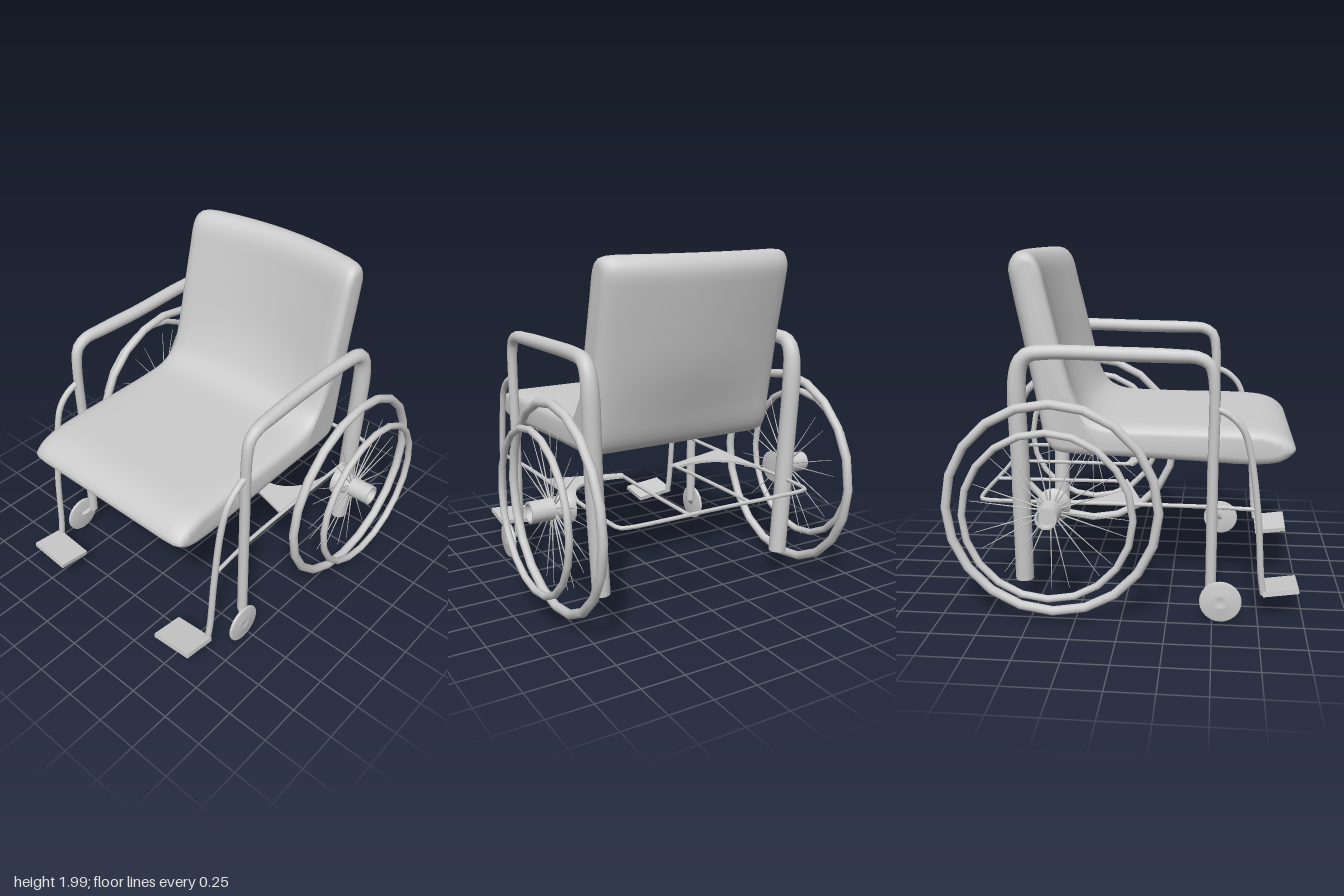
import * as THREE from 'three';
import { toCreasedNormals } from 'three/addons/utils/BufferGeometryUtils.js';

const grey = new THREE.MeshStandardMaterial({ color: 0xcccccc });
const V = (x, y, z) => new THREE.Vector3(x, y, z);

function add(parent, name, geometry) {
  const mesh = new THREE.Mesh(geometry, grey);
  mesh.name = name;
  parent.add(mesh);
}

// Tube through points [x, y, z], x mirrored by s; radius follows radiusAt(t). Flat closed ends.
function tube(points, s, radiusAt, steps = 24, sides = 10) {
  const curve = new THREE.CatmullRomCurve3(points.map(([x, y, z]) => V(x * s, y, z)), false, 'centripetal');
  const geo = new THREE.TubeGeometry(curve, steps, 1, sides, false);
  const pos = geo.attributes.position;
  const v = V();
  for (let i = 0; i <= steps; i++) {
    const c = curve.getPointAt(i / steps);
    // end rings collapse to a point, and the rings beside them move into the end plane
    const isEnd = i === 0 || i === steps;
    const target = i === 1 ? curve.getPointAt(0) : i === steps - 1 ? curve.getPointAt(1) : c;
    for (let j = 0; j <= sides; j++) {
      const k = i * (sides + 1) + j;
      v.fromBufferAttribute(pos, k).sub(c).multiplyScalar(isEnd ? 0 : radiusAt(i / steps)).add(target);
      pos.setXYZ(k, v.x, v.y, v.z);
    }
  }
  return toCreasedNormals(geo, 0.9);
}

// Padded shell: one side profile [z, y] repeated across the width, inset at the sides, back bowed
function seatGeometry() {
  const outline = [
    [0.94, 0.95], [0.89, 1.01], [0.81, 1.045], [0.7, 1.06], [0.3, 1.065], [0, 1.07], [-0.13, 1.085],
    [-0.21, 1.13], [-0.26, 1.22], [-0.33, 1.5], [-0.4, 1.79], [-0.44, 1.94], [-0.49, 1.995],
    [-0.56, 1.995], [-0.605, 1.93], [-0.59, 1.8], [-0.53, 1.5], [-0.475, 1.15], [-0.45, 1],
    [-0.41, 0.925], [-0.34, 0.9], [0, 0.885], [0.4, 0.87], [0.7, 0.858], [0.85, 0.875], [0.91, 0.91],
  ];
  const curve = new THREE.CatmullRomCurve3(outline.map(([z, y]) => V(0, y, z)), true, 'centripetal');
  const n = 78;
  const ring = Array.from({ length: n }, (_, i) => curve.getPoint(i / n));
  const inward = ring.map((p, i) => {
    const d = ring[(i + 1) % n].clone().sub(ring[(i + n - 1) % n]).normalize();
    return V(0, d.z, -d.y);
  });
  // [x, inset] from the side towards the middle
  const half = [[0.59, 0.05], [0.585, 0.03], [0.57, 0.014], [0.54, 0.004], [0.48, 0], [0.36, 0], [0.24, 0], [0.12, 0]];
  const stations = [...half.map(([x, d]) => [-x, d]), [0, 0], ...half.slice().reverse()];
  const pos = [], index = [];
  for (const [x, d] of stations) {
    ring.forEach((p, i) => {
      const y = p.y + inward[i].y * d;
      const z = p.z + inward[i].z * d;
      const bow = 0.09 * (1 - (x / 0.59) ** 2) * THREE.MathUtils.smoothstep(y, 0.9, 1.5);
      pos.push(x, y, z - (z < 0 ? bow : 0));
    });
  }
  for (let a = 0; a < stations.length - 1; a++) {
    for (let i = 0; i < n; i++) {
      const j = (i + 1) % n, p = a * n, q = p + n;
      index.push(p + i, q + i, p + j, p + j, q + i, q + j);
    }
  }
  // flat side panels
  const last = (stations.length - 1) * n;
  const flat = ring.map((p) => new THREE.Vector2(p.z, p.y));
  for (const [a, b, c] of THREE.ShapeUtils.triangulateShape(flat, [])) {
    index.push(a, b, c, last + a, last + c, last + b);
  }
  const geo = new THREE.BufferGeometry();
  geo.setAttribute('position', new THREE.Float32BufferAttribute(pos, 3));
  geo.setIndex(index);
  return toCreasedNormals(geo, 0.9);
}

function wheel(s) {
  const g = new THREE.Group();
  g.name = 'rearWheel';
  g.position.set(0, 0.648, -0.37);
  // tyre and the smaller hand rim outside it
  for (const [name, R, r, x] of [['tyre', 0.58, 0.026, 0.79], ['handRim', 0.455, 0.02, 0.912]]) {
    add(g, name, new THREE.TorusGeometry(R, r, 10, 20).rotateY(Math.PI / 2).translate(s * x, 0, 0));
  }
  // flared hub with a recessed outer end
  const profile = [[0, 0.69], [0.06, 0.69], [0.095, 0.695], [0.095, 0.705], [0.075, 0.725], [0.062, 0.77],
    [0.06, 0.85], [0.06, 0.935], [0.048, 0.935], [0.045, 0.9], [0, 0.9]];
  const hub = new THREE.LatheGeometry(profile.map(([r, h]) => new THREE.Vector2(r, h)), 20);
  add(g, 'hub', toCreasedNormals(hub.rotateZ(-s * Math.PI / 2), 0.7));
  // needle-like spokes
  for (let i = 0; i < 20; i++) {
    const spoke = new THREE.CylinderGeometry(0.0015, 0.005, 0.39, 5).translate(0, 0.25, 0);
    add(g, 'spoke', spoke.rotateX((i + (i % 2) * 0.3) * Math.PI / 10).translate(s * 0.8, 0, 0));
  }
  return g;
}

function caster(s) {
  const g = new THREE.Group();
  g.name = 'caster';
  const profile = [[0, -0.012], [0.1, -0.012], [0.114, -0.008], [0.117, 0], [0.114, 0.008], [0.1, 0.012],
    [0.05, 0.012], [0.04, 0.015], [0.03, 0.015], [0.022, 0.012], [0, 0.012]];
  const disc = new THREE.LatheGeometry(profile.map(([r, h]) => new THREE.Vector2(r, h)), 24);
  add(g, 'casterWheel', toCreasedNormals(disc.rotateZ(-s * Math.PI / 2).translate(s * 0.708, 0.125, 0.545), 0.6));
  add(g, 'casterAxle', tube([[0.66, 0.2, 0.49], [0.672, 0.155, 0.52], [0.7, 0.125, 0.545]], s, () => 0.016, 8));
  return g;
}

function sideFrame(s) {
  const g = new THREE.Group();
  g.name = 'sideFrame';
  // front post, armrest and thicker rear post in one bent tube
  const path = [[0.655, 0.17, 0.49], [0.655, 0.8, 0.49], [0.66, 1.36, 0.487], [0.66, 1.43, 0.465], [0.66, 1.465, 0.4],
    [0.655, 1.47, 0.3], [0.645, 1.475, 0], [0.655, 1.48, -0.42], [0.66, 1.465, -0.51], [0.66, 1.4, -0.555],
    [0.64, 0.8, -0.562], [0.605, 0.18, -0.562]];
  add(g, 'armrestTube', tube(path, s,
    (t) => 0.03 + 0.01 * THREE.MathUtils.smoothstep(t, 0.3, 0.45) + 0.012 * THREE.MathUtils.smoothstep(t, 0.6, 0.7), 90, 14));
  // footrest hanger and plate
  add(g, 'footrestTube', tube([[0.66, 1.2, 0.49], [0.665, 1.165, 0.57], [0.665, 1.09, 0.645], [0.66, 0.95, 0.69],
    [0.655, 0.6, 0.74], [0.645, 0.25, 0.765], [0.64, 0.15, 0.78]], s, () => 0.019, 36));
  const plate = new THREE.BoxGeometry(0.26, 0.028, 0.2);
  plate.rotateX(-0.14).rotateZ(s * 0.1).translate(s * 0.535, 0.156, 0.875);
  add(g, 'footplate', plate);
  // lower rail running into the rear crossbar, inner rod and the curved web between them
  add(g, 'lowerRail', tube([[0.65, 0.64, 0.735], [0.625, 0.64, 0.45], [0.62, 0.64, 0], [0.62, 0.64, -0.75],
    [0.608, 0.64, -0.79], [0.57, 0.64, -0.805], [0, 0.64, -0.805]], s, () => 0.012, 60, 8));
  add(g, 'innerRod', tube([[0.2, 0.64, -0.805], [0.2, 0.64, -0.4], [0.19, 0.64, -0.04]], s, () => 0.011, 8, 8));
  const web = new THREE.Shape();
  web.moveTo(s * 0.62, 0.11);
  web.lineTo(s * 0.17, -0.02);
  web.lineTo(s * 0.2, -0.07);
  web.quadraticCurveTo(s * 0.57, 0.03, s * 0.62, -0.36);
  web.closePath();
  add(g, 'railWeb', new THREE.ExtrudeGeometry(web, { depth: 0.016, bevelEnabled: false, curveSegments: 10 })
    .rotateX(Math.PI / 2).translate(0, 0.648, 0));
  return g;
}

export function createModel() {
  const model = new THREE.Group();
  model.name = 'wheelchair';
  add(model, 'seatAndBackrest', seatGeometry());
  for (const s of [1, -1]) model.add(sideFrame(s), wheel(s), caster(s));
  return model;
}
